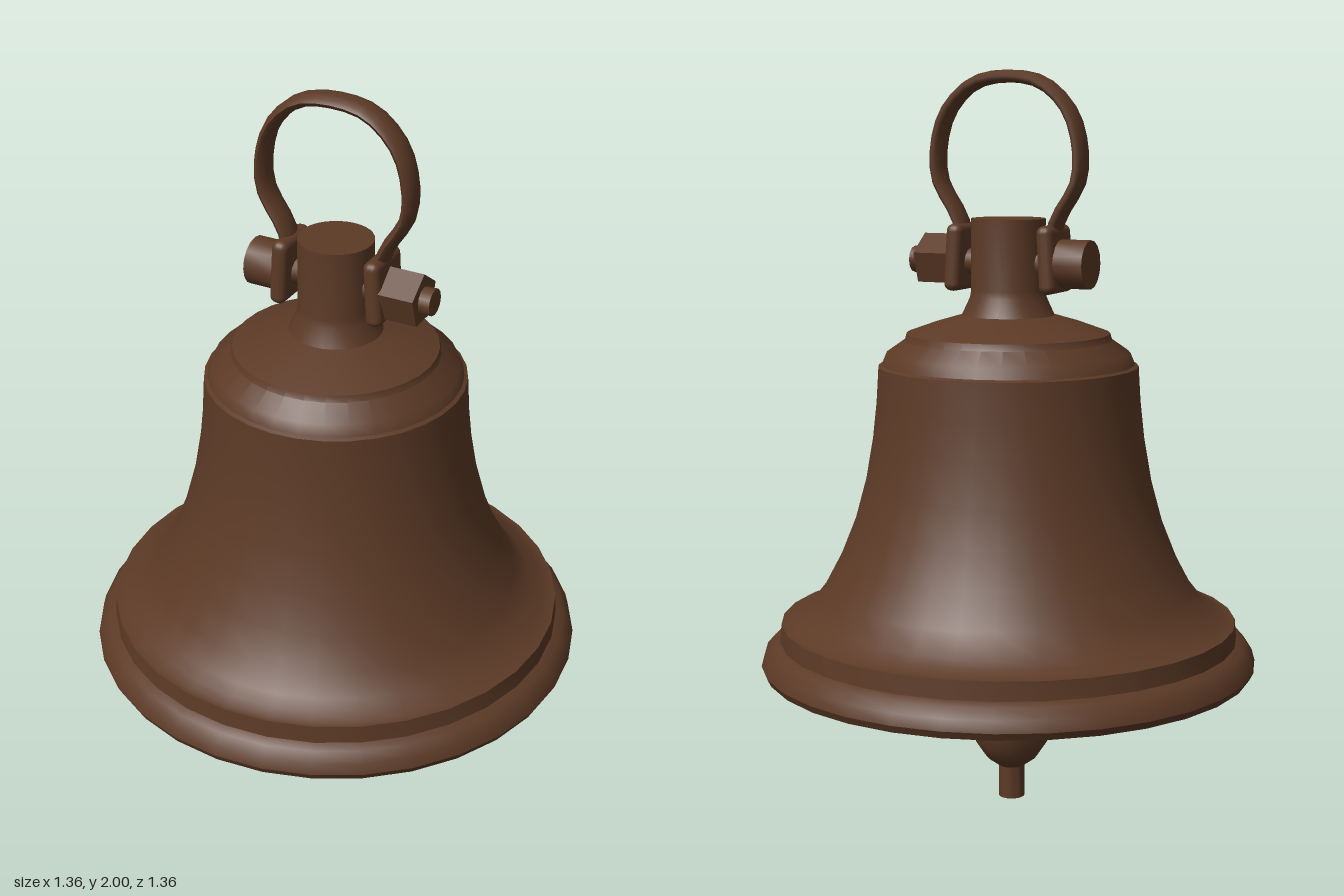
import * as THREE from 'three';
import { toCreasedNormals } from 'three/addons/utils/BufferGeometryUtils.js';
import { RoundedBoxGeometry } from 'three/addons/geometries/RoundedBoxGeometry.js';

const bronze = new THREE.MeshStandardMaterial({ color: 0x5c3a26 });
bronze.name = 'bronze';

const BOLT_Y = 1.493;

function part(name, geometry, x = 0, y = 0, z = 0) {
  const mesh = new THREE.Mesh(geometry, bronze);
  mesh.name = name;
  mesh.position.set(x, y, z);
  return mesh;
}

function lathe(profile, sides) {
  const points = profile.map(([r, y]) => new THREE.Vector2(r, y));
  return toCreasedNormals(new THREE.LatheGeometry(points, sides), 0.7);
}

// Cylinder lying along x between x0 and x1, with one corner pointing up
function pin(name, radius, sides, x0, x1) {
  const g = new THREE.CylinderGeometry(radius, radius, x1 - x0, sides, 1, false, -Math.PI / 2);
  g.rotateZ(-Math.PI / 2);
  return part(name, toCreasedNormals(g, 0.7), (x0 + x1) / 2, BOLT_Y);
}

export function createModel() {
  const bell = new THREE.Group();
  bell.name = 'bell';

  // Hollow body: down the inside, around the lip, up the outside to the neck
  const inside = [
    [0, 1.28], [0.22, 1.26], [0.3, 1.2], [0.315, 1.05], [0.345, 0.88],
    [0.4, 0.73], [0.47, 0.61], [0.56, 0.52], [0.61, 0.45], [0.63, 0.38],
  ];
  const outside = [
    [0.67, 0.38], [0.68, 0.4], [0.672, 0.43], [0.65, 0.455], [0.628, 0.465], [0.624, 0.515],
    [0.605, 0.518], [0.585, 0.532], [0.55, 0.548], [0.505, 0.605], [0.46, 0.69],
    [0.42, 0.79], [0.39, 0.9], [0.369, 1.02], [0.358, 1.12], [0.352, 1.215],
    [0.342, 1.22], [0.33, 1.25], [0.28, 1.285], [0.275, 1.303],
    [0.2, 1.33], [0.125, 1.352], [0.103, 1.4], [0.1, 1.42], [0.1, 1.61], [0, 1.61],
  ];
  bell.add(part('bellBody', lathe([...inside, ...outside], 32)));

  // Clapper: rod, egg-shaped ball and tail
  const clapper = [
    [0, 0], [0.036, 0], [0.036, 0.09], [0.07, 0.115], [0.1, 0.16], [0.115, 0.225],
    [0.107, 0.28], [0.08, 0.33], [0.04, 0.36], [0.036, 0.38], [0.036, 1.28],
  ];
  bell.add(part('clapper', lathe(clapper, 20), -0.01));

  // Hanging loop: bowed path with a flattened section
  const right = [[0.132, 1.56], [0.145, 1.61], [0.203, 1.71], [0.207, 1.8], [0.177, 1.893], [0.1, 1.965]];
  const path = [
    ...right.map(([x, y]) => new THREE.Vector3(x, y, 0)),
    new THREE.Vector3(0, 1.983, 0),
    ...right.slice().reverse().map(([x, y]) => new THREE.Vector3(-x, y, 0)),
  ];
  const loop = new THREE.TubeGeometry(new THREE.CatmullRomCurve3(path), 28, 0.0175, 10);
  loop.scale(1, 1, 2.3);
  loop.computeVertexNormals();
  bell.add(part('hangingLoop', loop));

  // Lugs at the feet of the loop
  for (const side of [-1, 1]) {
    const lug = part('loopLug', new RoundedBoxGeometry(0.046, 0.18, 0.148, 3, 0.02), side * 0.136, 1.505);
    lug.rotation.z = side * 0.06;
    bell.add(lug);
  }

  // Cross bolt with round head, nut and threaded end
  bell.add(pin('boltHead', 0.065, 16, -0.24, -0.15));
  bell.add(pin('boltShaft', 0.036, 12, -0.16, 0.283));
  bell.add(pin('boltNut', 0.072, 5, 0.155, 0.252));

  return bell;
}
